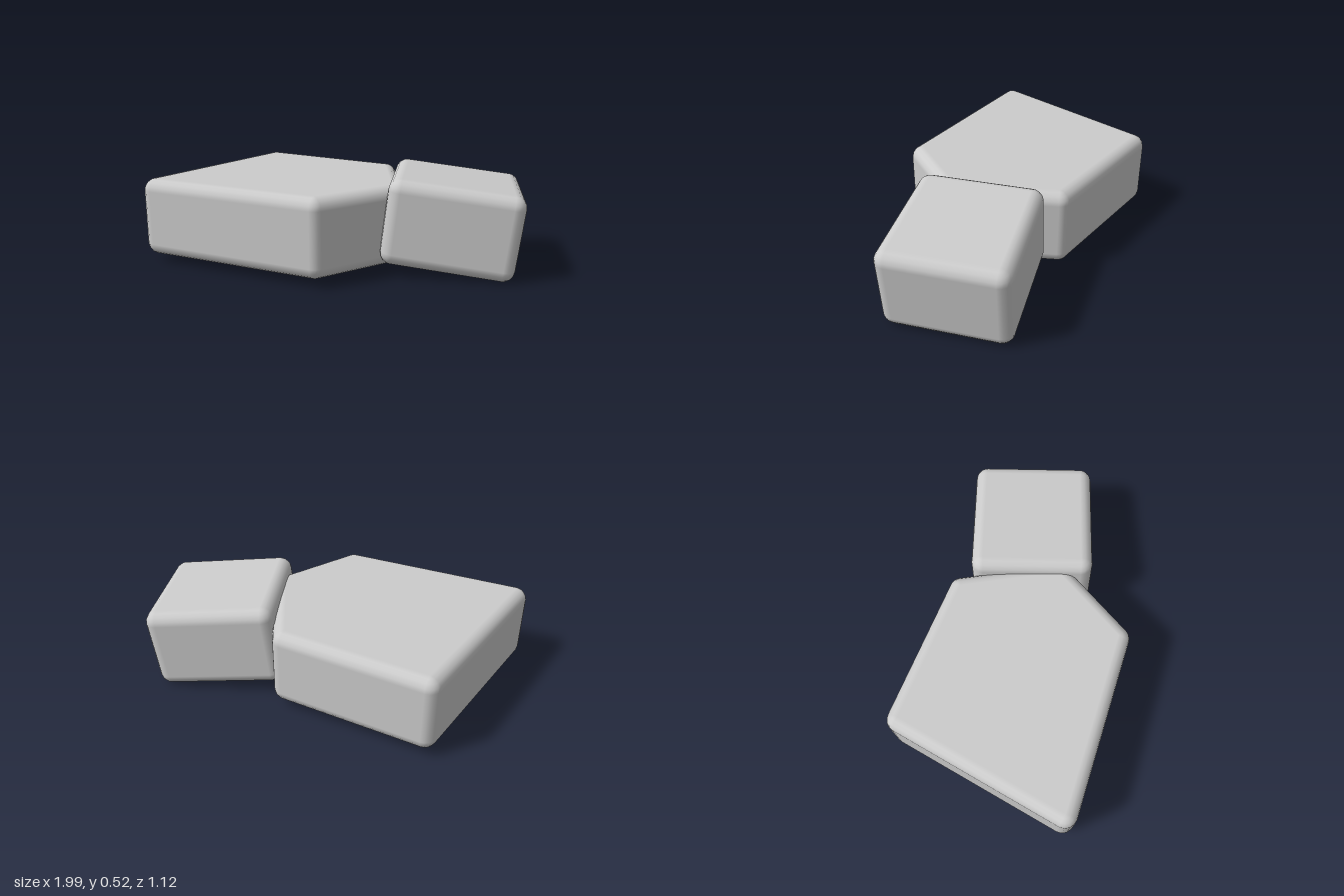
import * as THREE from 'three';

// Convex [x, z] outline, rounded by radius r on every edge and corner.
// Corners run from +x towards +z; halfHeight is that of the unrounded core.
function roundedSlab(corners, halfHeight, r, steps = 4) {
  const n = corners.length;
  const edgeAngle = (a, b) => Math.atan2(a[0] - b[0], b[1] - a[1]);
  // Outline points with their sideways normal angle
  const outline = [];
  corners.forEach((c, i) => {
    const start = edgeAngle(corners[(i + n - 1) % n], c);
    let end = edgeAngle(c, corners[(i + 1) % n]);
    if (end < start) end += Math.PI * 2;
    for (let s = 0; s <= steps; s++) outline.push([c[0], c[1], start + (end - start) * s / steps]);
  });
  // Levels from bottom to top: quarter round, wall, quarter round
  const levels = [];
  for (const side of [-1, 1]) {
    for (let s = 0; s <= steps; s++) {
      const t = (s / steps) * Math.PI / 2;
      levels.push([side * halfHeight, side < 0 ? t - Math.PI / 2 : t]);
    }
  }
  const positions = [], normals = [], index = [];
  const m = outline.length;
  for (const [y, lat] of levels) {
    for (const [x, z, a] of outline) {
      const nx = Math.cos(a) * Math.cos(lat), ny = Math.sin(lat), nz = Math.sin(a) * Math.cos(lat);
      positions.push(x + r * nx, y + r * ny, z + r * nz);
      normals.push(nx, ny, nz);
    }
  }
  for (let i = 0; i < levels.length - 1; i++) {
    for (let j = 0; j < m; j++) {
      const k = (j + 1) % m, lo = i * m, hi = lo + m;
      index.push(lo + j, hi + j, lo + k, hi + j, hi + k, lo + k);
    }
  }
  // Flat caps
  const top = (levels.length - 1) * m;
  for (let j = 1; j < m - 1; j++) {
    index.push(0, j, j + 1, top, top + j + 1, top + j);
  }
  const geometry = new THREE.BufferGeometry();
  geometry.setAttribute('position', new THREE.Float32BufferAttribute(positions, 3));
  geometry.setAttribute('normal', new THREE.Float32BufferAttribute(normals, 3));
  geometry.setIndex(index);
  return geometry;
}

export function createModel() {
  const group = new THREE.Group();
  group.name = 'stones';
  const stone = new THREE.MeshStandardMaterial({ color: 0xcccccc });
  stone.name = 'stone grey';
  const r = 0.065;

  // Large flat five-sided stone
  const slab = new THREE.Mesh(
    roundedSlab([[0.3, 0.1], [0.03, 0.49], [-0.935, 0.44], [-0.69, -0.5], [0.09, -0.4]], 0.148, r), stone);
  slab.name = 'largeStone';
  slab.position.y = 0.252;
  group.add(slab);

  // Smaller tilted block leaning against it
  const w = 0.285, d = 0.267;
  const block = new THREE.Mesh(
    roundedSlab([[w, d], [-w, d], [-w, -d], [w, -d]], 0.163, r), stone);
  block.name = 'smallStone';
  block.position.set(0.575, 0.26, -0.122);
  block.rotation.set(0, 0.24, -0.118);
  group.add(block);

  return group;
}
